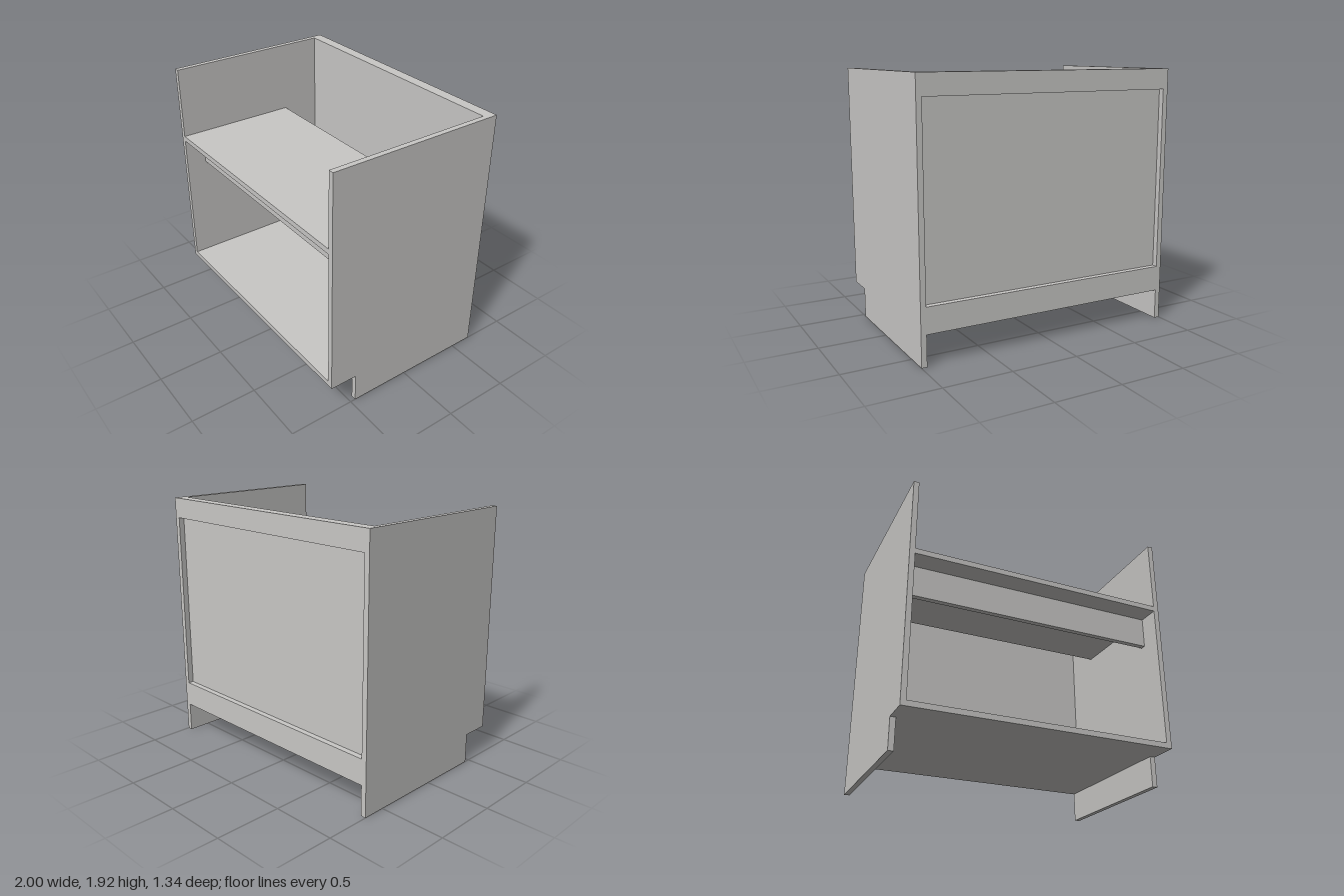
import * as THREE from 'three';

export function createModel() {
  const model = new THREE.Group();
  model.name = 'cabinet';

  const board = new THREE.MeshStandardMaterial({ color: 0xc8c7c5 });
  board.name = 'light grey board';

  const T = 0.04;          // board thickness
  const H = 1.92;          // overall height
  const Z = 0.67;          // half depth
  const inner = 1 - T;     // half width between the sides
  const floor = 0.225;     // underside of the bottom panel

  // Side panels, with a toe-kick notch at the lower front
  const outline = new THREE.Shape([
    [-Z, 0], [0.46, 0], [0.46, floor], [Z, floor], [Z, H], [-Z, H],
  ].map(([z, y]) => new THREE.Vector2(-z, y)));
  const sideGeometry = new THREE.ExtrudeGeometry(outline, { depth: T, bevelEnabled: false });
  sideGeometry.rotateY(Math.PI / 2);
  for (const [name, x] of [['leftSide', inner], ['rightSide', -1]]) {
    const side = new THREE.Mesh(sideGeometry, board);
    side.name = name;
    side.position.x = x;
    model.add(side);
  }

  // Boards spanning between the sides
  const span = (name, y0, y1, z0, z1) => {
    const mesh = new THREE.Mesh(new THREE.BoxGeometry(2 * inner, y1 - y0, z1 - z0), board);
    mesh.name = name;
    mesh.position.set(0, (y0 + y1) / 2, (z0 + z1) / 2);
    model.add(mesh);
  };
  const panelBack = -Z + 0.0425;
  span('bottomPanel', floor, floor + T, -Z, Z);
  span('shelf', 1.33, 1.37, -0.28, Z);
  span('shelfRail', 1.1, 1.33, 0.51 - T, 0.51);
  span('backPanel', floor + T, H, panelBack, -0.585);
  span('upperBackRail', H - 0.15, H, -Z, panelBack);
  span('lowerBackRail', floor + T, floor + T + 0.15, -Z, panelBack);

  return model;
}
